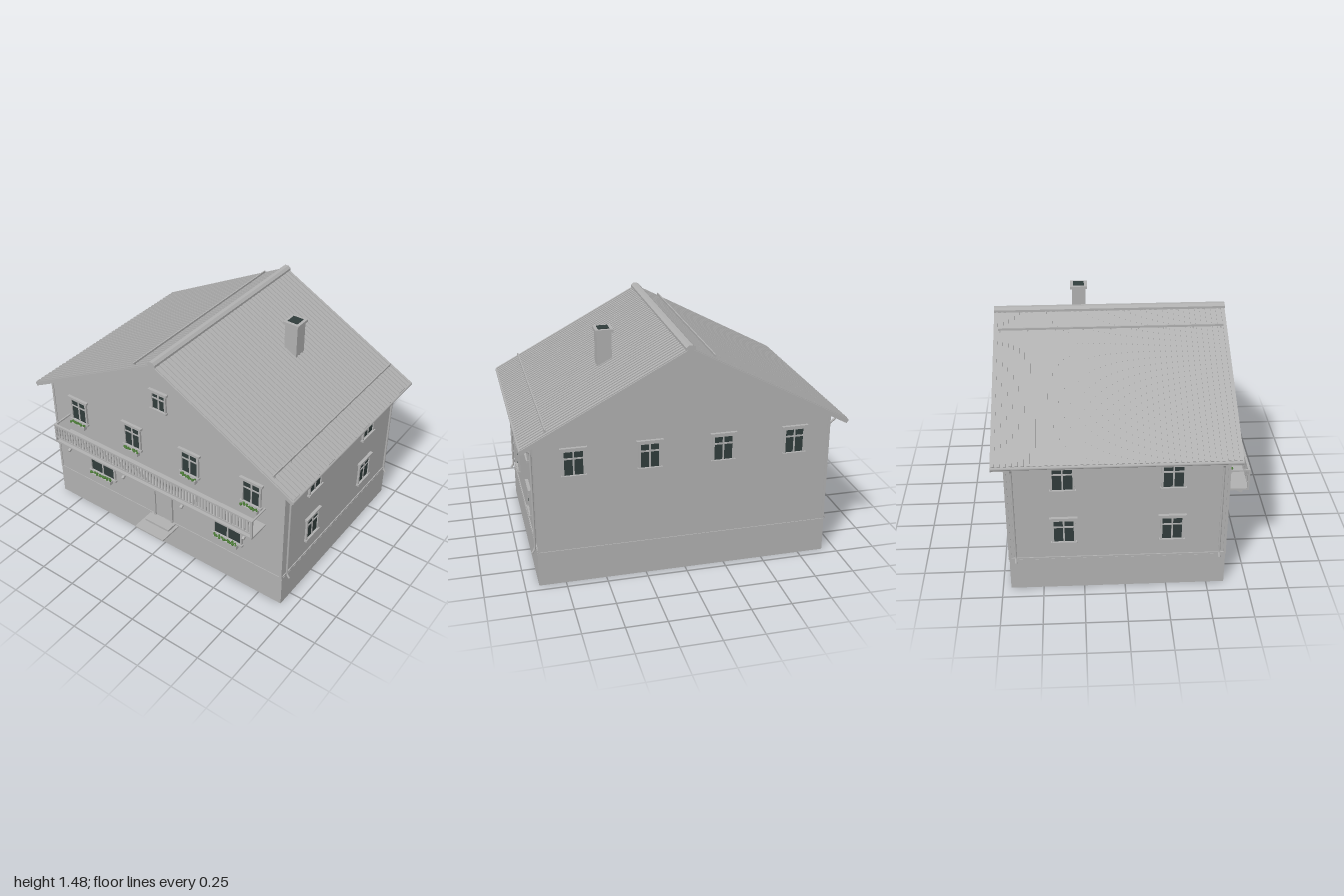
import * as THREE from 'three';

const material = (name, color) => Object.assign(new THREE.MeshStandardMaterial({ color }), { name });

export function createModel() {
  const house = new THREE.Group();
  house.name = 'house';
  const grey = material('plaster grey', 0xb0b0b0);
  const glass = material('dark glass', 0x303c3b);
  const green = material('leaf green', 0x4a7a36);
  const FRONT = 0.61, BACK = -0.7, SIDE = 0.908;
  const RIDGE = 1.458, SLOPE = 0.53;
  const roofY = (x) => RIDGE - SLOPE * Math.abs(x);

  const add = (parent, name, geometry, mat = grey) => {
    const m = new THREE.Mesh(geometry, mat);
    m.name = name;
    parent.add(m);
    return m;
  };
  // Box given by its two extreme corners
  const box = (parent, name, x0, x1, y0, y1, z0, z1, mat = grey) => {
    const m = add(parent, name, new THREE.BoxGeometry(x1 - x0, y1 - y0, z1 - z0), mat);
    m.position.set((x0 + x1) / 2, (y0 + y1) / 2, (z0 + z1) / 2);
    return m;
  };
  const group = (name) => {
    const g = new THREE.Group();
    g.name = name;
    house.add(g);
    return g;
  };
  const extrude = (points, z0, z1) => {
    const shape = new THREE.Shape(points.map(([x, y]) => new THREE.Vector2(x, y)));
    return new THREE.ExtrudeGeometry(shape, { depth: z1 - z0, bevelEnabled: false }).translate(0, 0, z0);
  };

  // Plinth and gabled walls
  box(house, 'plinth', -0.915, 0.915, 0, 0.215, BACK, FRONT);
  const top = roofY(SIDE) - 0.02;
  add(house, 'walls', extrude(
    [[-SIDE, 0.215], [SIDE, 0.215], [SIDE, top], [0, RIDGE - 0.02], [-SIDE, top]], BACK, FRONT));
  box(house, 'skirtBoard', -0.914, 0.914, 0.215, 0.227, BACK - 0.005, FRONT + 0.005);
  for (const sx of [-1, 1]) for (const z of [BACK + 0.004, FRONT - 0.004]) {
    const corner = box(house, 'cornerBoard', -0.008, 0.008, 0.22, 0.94, -0.008, 0.008);
    corner.position.x = sx * 0.905;
    corner.position.z = z;
  }

  // Roof slab with raised ribs
  const Z0 = -0.77, Z1 = 0.67;
  add(house, 'roofSlab', extrude([[-0.99, roofY(0.99) - 0.03], [0, RIDGE - 0.03], [0.99, roofY(0.99) - 0.03],
    [0.99, roofY(0.99)], [0, RIDGE], [-0.99, roofY(0.99)]], Z0, Z1));
  const angle = Math.atan(SLOPE), length = Math.hypot(0.99, 0.99 * SLOPE);
  const ribs = 43, step = (Z1 - Z0) / ribs;
  const ribGeometry = new THREE.BoxGeometry(length, 0.01, step * 0.5);
  const roofRibs = group('roofRibs');
  for (const s of [-1, 1]) for (let i = 0; i < ribs; i++) {
    const rib = add(roofRibs, 'roofRib', ribGeometry);
    rib.position.set(s * 0.495, roofY(0.495) + 0.001, Z0 + (i + 0.5) * step);
    rib.rotation.z = -s * angle;
  }
  add(house, 'ridgeCap', extrude([[-0.028, 1.448], [0.028, 1.448], [0.028, 1.464], [0.012, 1.478],
    [-0.012, 1.478], [-0.028, 1.464]], Z0, Z1));

  // Snow guards
  for (const x of [-0.155, 0.842]) {
    const guard = group('snowGuard');
    box(guard, 'guardRail', x - 0.004, x + 0.004, roofY(x) + 0.012, roofY(x) + 0.025, -0.74, 0.645);
    for (let i = 0; i <= 8; i++) {
      const z = -0.73 + i * 0.17;
      box(guard, 'guardBracket', x - 0.004, x + 0.004, roofY(x) - 0.005, roofY(x) + 0.015, z - 0.004, z + 0.004);
    }
  }

  // Chimney with open, dark flue
  const chimney = group('chimney');
  box(chimney, 'chimneyStack', 0.36, 0.45, 1.15, 1.44, -0.285, -0.195);
  box(chimney, 'chimneyCap', 0.35, 0.46, 1.437, 1.455, -0.296, -0.184);
  box(chimney, 'flue', 0.37, 0.44, 1.455, 1.459, -0.275, -0.205, glass);

  // Gutters and downpipes
  for (const s of [-1, 1]) {
    const gutter = add(house, 'gutter', new THREE.CylinderGeometry(0.011, 0.011, Z1 - Z0, 8));
    gutter.rotation.x = Math.PI / 2;
    gutter.position.set(s * 0.989, 0.922, (Z0 + Z1) / 2);
    for (const z of [0.57, -0.66]) {
      const path = new THREE.CurvePath();
      const points = [[0.987, 0.915], [0.924, 0.865], [0.924, 0.235], [0.942, 0.21]]
        .map(([x, y]) => new THREE.Vector3(s * x, y, z));
      for (let i = 0; i < 3; i++) path.add(new THREE.LineCurve3(points[i], points[i + 1]));
      add(house, 'downpipe', new THREE.TubeGeometry(path, 30, 0.007, 8));
    }
  }

  // Window facing +z: glass w by h, centred, sitting on the wall at z = 0
  const makeWindow = (w, h) => {
    const g = group('window');
    const a = w / 2, b = h / 2, t = 0.013;
    box(g, 'glass', -a, a, -b, b, -0.002, 0.005, glass);
    for (const s of [-1, 1])
      box(g, 'sideTrim', s * (a + t / 2) - t / 2, s * (a + t / 2) + t / 2, -b, b, -0.002, 0.013);
    box(g, 'topTrim', -a - t, a + t, b, b + 0.012, -0.002, 0.013);
    box(g, 'headBoard', -a - 0.025, a + 0.025, b + 0.01, b + 0.025, -0.002, 0.02);
    box(g, 'sill', -a - 0.019, a + 0.019, -b - 0.014, -b, -0.002, 0.02);
    box(g, 'mullion', -0.005, 0.005, -b, b, 0, 0.009);
    box(g, 'transom', -a, a, h * 0.2 - 0.005, h * 0.2 + 0.005, 0, 0.009);
    return g;
  };
  const columns = [-0.68, -0.228, 0.225, 0.68];
  for (const x of columns) {
    makeWindow(0.113, 0.15).position.set(x, 0.795, FRONT);
    const back = makeWindow(0.113, 0.15);
    back.position.set(x, 0.795, BACK);
    back.rotation.y = Math.PI;
  }
  for (const x of [-0.512, 0.512]) makeWindow(0.195, 0.15).position.set(x, 0.42, FRONT);
  makeWindow(0.09, 0.11).position.set(0, 1.163, FRONT);
  for (const s of [-1, 1]) for (const z of [0.28, -0.367]) for (const y of [0.42, 0.792]) {
    const side = makeWindow(0.118, 0.15);
    side.position.set(s * SIDE, y, z);
    side.rotation.y = s * Math.PI / 2;
  }

  // Flower boxes with leaf clumps
  let seed = 7;
  const random = () => (seed = (seed * 16807) % 2147483647) / 2147483647;
  const leaf = new THREE.IcosahedronGeometry(0.011, 0);
  const flowerBox = (x, y, w) => {
    const g = group('flowerBox');
    box(g, 'planter', x - w / 2, x + w / 2, y - 0.025, y, 0.627, 0.655);
    box(g, 'planterBracket', x - w / 2 + 0.01, x + w / 2 - 0.01, y - 0.015, y - 0.008, FRONT, 0.63);
    const n = Math.round(w / 0.011);
    for (let i = 0; i < n; i++) {
      const clump = add(g, 'leaves', leaf, green);
      clump.position.set(x + ((i + 0.5) / n - 0.5) * w, y + 0.002 + random() * 0.009, 0.636 + random() * 0.016);
      clump.rotation.set(random() * 3, random() * 3, 0);
      clump.scale.setScalar(0.6 + random() * 0.4);
    }
  };
  for (const x of columns) flowerBox(x + 0.005, 0.71, 0.12);
  for (const x of [-0.512, 0.512]) flowerBox(x, 0.34, 0.18);

  // Balcony with balustrade and struts
  const balcony = group('balcony');
  const B = 0.782, OUT = 0.755;
  box(balcony, 'balconyFloor', -B, B, 0.588, 0.6, FRONT - 0.005, OUT);
  box(balcony, 'topRail', -B, B, 0.717, 0.73, OUT - 0.014, OUT);
  box(balcony, 'bottomRail', -B, B, 0.622, 0.632, OUT - 0.011, OUT - 0.003);
  for (let i = 0; i <= 66; i++) {
    const x = -0.77 + i * 1.54 / 66;
    box(balcony, 'baluster', x - 0.006, x + 0.006, 0.625, 0.72, OUT - 0.01, OUT - 0.004);
  }
  for (const s of [-1, 1]) {
    const x = s * 0.776;
    box(balcony, 'cornerPost', x - 0.006, x + 0.006, 0.6, 0.73, OUT - 0.013, OUT - 0.001);
    box(balcony, 'sideTopRail', x - 0.005, x + 0.005, 0.72, 0.73, FRONT, OUT);
  }
  for (const x of [-0.7, -0.235, 0.235, 0.7]) {
    const strut = box(balcony, 'strut', -0.008, 0.008, -0.008, 0.008, -0.068, 0.068);
    strut.position.set(x, 0.556, 0.668);
    strut.rotation.x = 0.5;
  }

  // Entrance door with frame and two steps
  const door = group('door');
  box(door, 'doorLeaf', -0.062, 0.062, 0.225, 0.495, FRONT - 0.005, FRONT + 0.004);
  for (const s of [-1, 1])
    box(door, 'doorJamb', s * 0.069 - 0.008, s * 0.069 + 0.008, 0.225, 0.5, FRONT - 0.005, FRONT + 0.014);
  box(door, 'doorHead', -0.082, 0.082, 0.495, 0.513, FRONT - 0.005, FRONT + 0.018);
  box(door, 'upperStep', -0.095, 0.095, 0.209, 0.225, FRONT - 0.005, 0.69);
  box(door, 'lowerStep', -0.115, 0.115, 0.199, 0.21, FRONT - 0.005, 0.77);

  return house;
}
